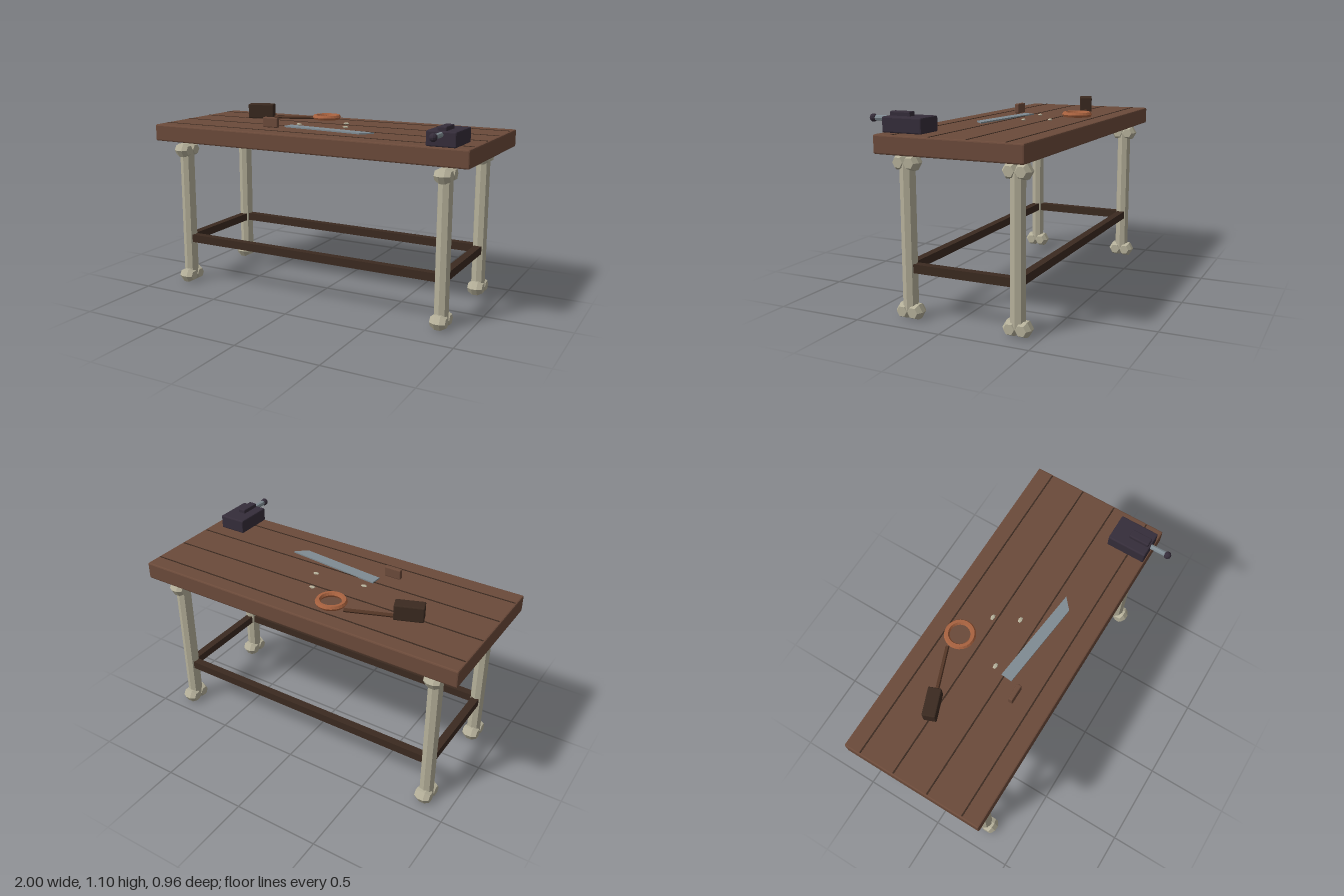
import * as THREE from 'three';
import { RoundedBoxGeometry } from 'three/addons/geometries/RoundedBoxGeometry.js';

const mat = (name, color, flat = true) => {
  const m = new THREE.MeshStandardMaterial({ color, flatShading: flat });
  m.name = name;
  return m;
};

export function createModel() {
  const wood = mat('brown wood', 0x6b4a3a);
  const darkWood = mat('dark wood', 0x3b2a20);
  const handleWood = mat('handle wood', 0x553727);
  const bone = mat('bone', 0xb5b09a);
  const iron = mat('dark iron', 0x352d3a);
  const steel = mat('steel', 0x7f8b92);
  const copper = mat('copper', 0xa8623f);

  const model = new THREE.Group();
  model.name = 'workbench';
  const add = (parent, name, geo, material, x = 0, y = 0, z = 0) => {
    const m = new THREE.Mesh(geo, material);
    m.name = name;
    m.position.set(x, y, z);
    parent.add(m);
    return m;
  };
  const rounded = (w, h, d, r) => new RoundedBoxGeometry(w, h, d, 1, r);
  const group = (name) => {
    const g = new THREE.Group();
    g.name = name;
    model.add(g);
    return g;
  };

  // Table top with dark plank seams
  add(model, 'tableTop', rounded(2, 0.1, 0.836, 0.008), wood, 0, 0.95, -0.058);
  for (const z of [-0.38, -0.17, 0.04, 0.255])
    add(model, 'plankSeam', new THREE.BoxGeometry(1.98, 0.004, 0.008), darkWood, 0, 1.0, z);

  // Bone legs: octagonal shaft with two faceted knuckles at each end
  const legX = 0.843, frontZ = 0.26, backZ = -0.371;
  const shaft = new THREE.CylinderGeometry(0.0425, 0.0425, 0.8, 8);
  const knuckle = new THREE.LatheGeometry(
    [[0, -0.045], [0.03, -0.045], [0.047, -0.016], [0.047, 0.016], [0.03, 0.045], [0, 0.045]]
      .map(([r, h]) => new THREE.Vector2(r, h)), 6);
  knuckle.rotateZ(Math.PI / 2);
  for (const x of [-legX, legX]) for (const z of [frontZ, backZ]) {
    const leg = group('boneLeg');
    leg.position.set(x, 0, z);
    add(leg, 'legShaft', shaft, bone, 0, 0.443, 0);
    for (const y of [0.042, 0.844]) for (const side of [-1, 1])
      add(leg, 'legKnuckle', knuckle, bone, 0, y, side * 0.033);
  }

  // Stretchers between the legs
  for (const z of [frontZ, backZ])
    add(model, 'longStretcher', new THREE.BoxGeometry(2 * legX, 0.048, 0.045), darkWood, 0, 0.283, z);
  for (const x of [-legX, legX])
    add(model, 'sideStretcher', new THREE.BoxGeometry(0.045, 0.048, frontZ - backZ), darkWood,
      x, 0.281, (frontZ + backZ) / 2);

  // Vise
  const vise = group('vise');
  vise.position.set(0.842, 1, 0);
  add(vise, 'viseBody', rounded(0.165, 0.082, 0.232, 0.007), iron, 0, 0.042, 0.238);
  add(vise, 'viseJaw', rounded(0.05, 0.04, 0.122, 0.006), iron, 0, 0.086, 0.282);
  const screw = add(vise, 'viseScrew', new THREE.CylinderGeometry(0.015, 0.015, 0.12, 8), steel, 0, 0.065, 0.39);
  screw.rotation.x = Math.PI / 2;
  add(vise, 'viseKnob', new THREE.SphereGeometry(0.022, 10, 8), iron, 0, 0.065, 0.459);

  // Mallet
  const mallet = group('mallet');
  mallet.position.set(-0.58, 1, -0.19);
  mallet.rotation.y = 0.36;
  add(mallet, 'malletHead', rounded(0.162, 0.09, 0.074, 0.006), darkWood, 0, 0.05, 0);
  const grip = add(mallet, 'malletHandle', new THREE.CylinderGeometry(0.011, 0.011, 0.28, 6), handleWood, 0.21, 0.011, 0);
  grip.rotation.z = Math.PI / 2;

  // Copper ring
  const ring = add(model, 'copperRing', new THREE.TorusGeometry(0.073, 0.016, 6, 24), copper, -0.16, 1.024, -0.29);
  ring.rotation.x = Math.PI / 2;

  // Saw blade lying flat and its loose handle
  const blade = new THREE.Shape([[-0.235, -0.024], [0.348, -0.09], [0.283, -0.147], [-0.24, -0.09]]
    .map(([x, y]) => new THREE.Vector2(x, y)));
  const saw = add(model, 'sawBlade', new THREE.ExtrudeGeometry(blade, { depth: 0.008, bevelEnabled: false }),
    steel, 0, 1.0, 0);
  saw.rotation.x = -Math.PI / 2;
  add(model, 'sawHandle', rounded(0.1, 0.06, 0.028, 0.006), wood, -0.298, 1.032, 0.148);

  // Small bone chips
  for (const [x, z] of [[0.027, -0.195], [-0.21, -0.03], [0.093, -0.056]]) {
    const chip = add(model, 'boneChip', new THREE.IcosahedronGeometry(1, 0), bone, x, 1.005, z);
    chip.scale.set(0.02, 0.007, 0.013);
  }
  return model;
}
